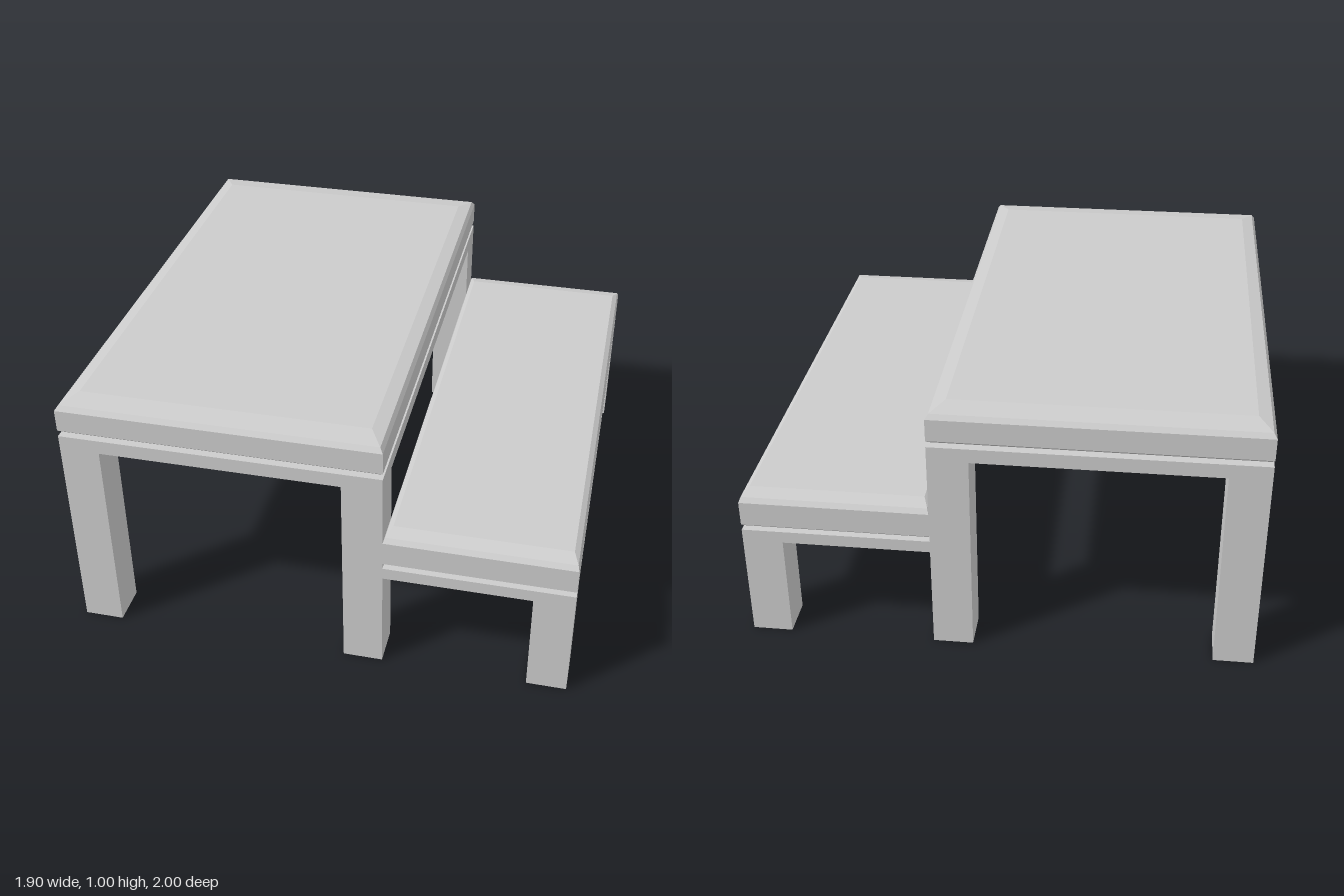
import * as THREE from 'three';
import { toCreasedNormals } from 'three/addons/utils/BufferGeometryUtils.js';

const material = new THREE.MeshStandardMaterial({ color: 0xcccccc });
const DEPTH = 2, LEG = 0.15;

function box(name, w, h, d, x, y, z) {
  const mesh = new THREE.Mesh(new THREE.BoxGeometry(w, h, d), material);
  mesh.position.set(x, y, z);
  mesh.name = name;
  return mesh;
}

// Rectangular rings [inset x, inset z, y], bottom to top, skinned and capped
function cushionGeometry(x0, x1, rings) {
  const pos = [], idx = [], zMax = DEPTH / 2;
  for (const [ix, iz, y] of rings) {
    const a = x0 + ix, b = x1 - ix, z = zMax - iz;
    pos.push(a, y, z, b, y, z, b, y, -z, a, y, -z);
  }
  for (let r = 0; r < rings.length - 1; r++) {
    for (let i = 0; i < 4; i++) {
      const a = r * 4 + i, b = r * 4 + (i + 1) % 4;
      idx.push(a, b, b + 4, a, b + 4, a + 4);
    }
  }
  const t = (rings.length - 1) * 4;
  idx.push(0, 2, 1, 0, 3, 2, t, t + 1, t + 2, t, t + 2, t + 3);
  const geo = new THREE.BufferGeometry();
  geo.setAttribute('position', new THREE.Float32BufferAttribute(pos, 3));
  geo.setIndex(idx);
  return toCreasedNormals(geo, 0.12);
}

// One platform: slab, legs at the given x centres, bevelled cushion on top
function platform(name, x0, x1, slabBottom, slabTop, legXs, rings) {
  const group = new THREE.Group();
  group.name = name;
  group.add(box('frameSlab', x1 - x0, slabTop - slabBottom, DEPTH,
    (x0 + x1) / 2, (slabBottom + slabTop) / 2, 0));
  for (const x of legXs) {
    for (const side of [1, -1]) {
      group.add(box(side > 0 ? 'frontLeg' : 'backLeg', LEG, slabBottom, LEG,
        x, slabBottom / 2, side * (DEPTH - LEG) / 2));
    }
  }
  const cushion = new THREE.Mesh(cushionGeometry(x0, x1, rings), material);
  cushion.name = 'cushion';
  group.add(cushion);
  return group;
}

export function createModel() {
  const model = new THREE.Group();
  model.name = 'steppedBench';
  model.add(platform('upperPlatform', -0.95, 0.25, 0.805, 0.86, [-0.875, 0.175], [
    [0.03, 0.05, 0.86], [0.01, 0.015, 0.872], [0, 0, 0.885],
    [0, 0, 0.97], [0.012, 0.015, 0.987], [0.06, 0.1, 1.0],
  ]));
  model.add(platform('lowerPlatform', 0.25, 0.95, 0.41, 0.457, [0.875], [
    [0.02, 0.05, 0.457], [0.006, 0.015, 0.467], [0, 0, 0.48],
    [0, 0, 0.575], [0.006, 0.015, 0.592], [0.025, 0.07, 0.605],
  ]));
  return model;
}
